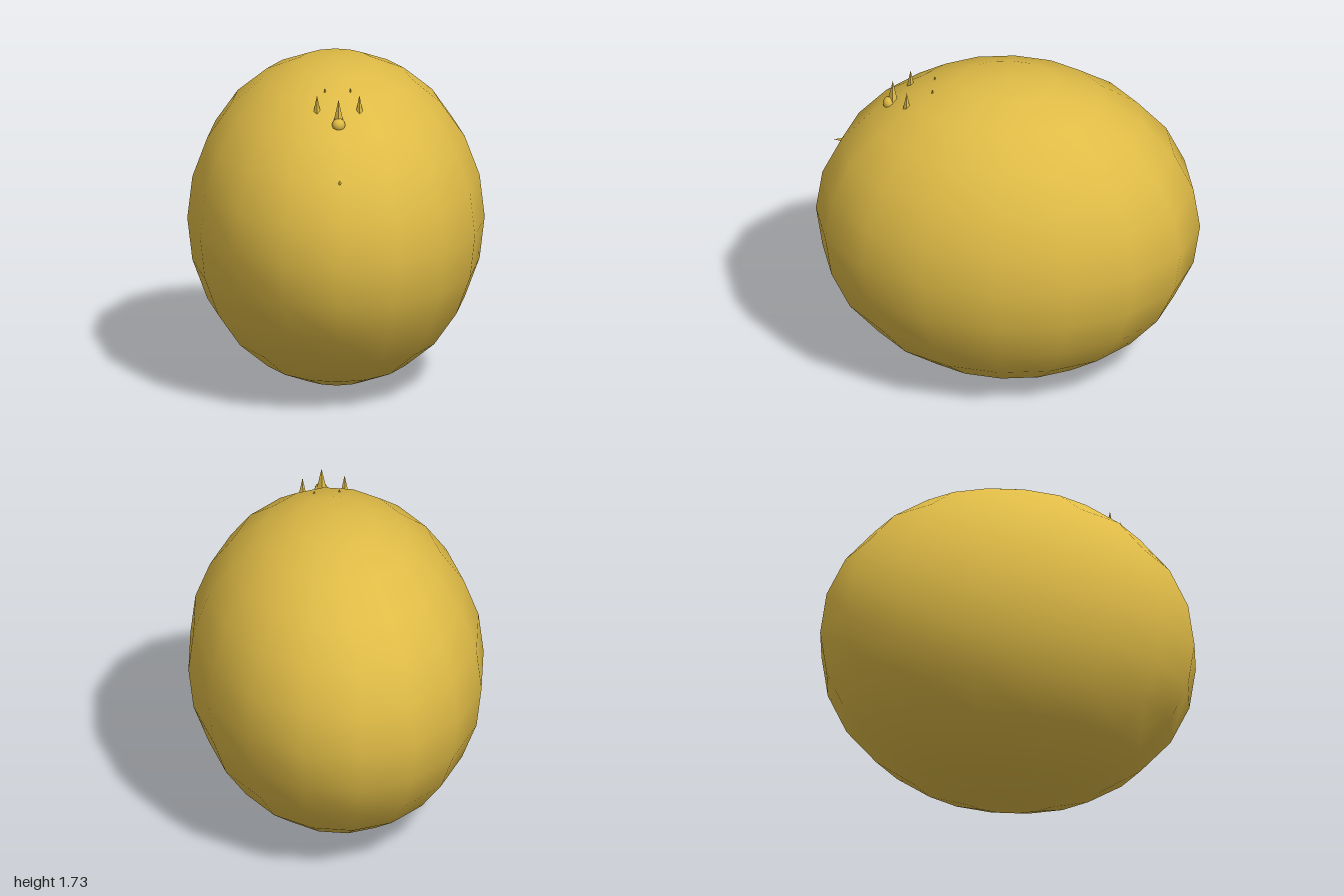
import * as THREE from 'three';

export function createModel() {
  const model = new THREE.Group();
  const gold = new THREE.MeshStandardMaterial({ color: 0xdfbb46 });
  gold.name = 'gold';

  function add(name, geometry, x, y, z) {
    const mesh = new THREE.Mesh(geometry, gold);
    mesh.name = name;
    mesh.position.set(x, y, z);
    model.add(mesh);
    return mesh;
  }

  // faceted four-sided spike with its tip at the origin, pointing up
  function spikeGeometry(radius, height) {
    const g = new THREE.ConeGeometry(radius, height, 4).translate(0, -height / 2, 0).toNonIndexed();
    g.computeVertexNormals();
    return g;
  }

  // large smooth egg-shaped body
  const body = new THREE.SphereGeometry(1, 16, 12);
  body.scale(0.771, 0.864, 1);
  add('body', body, 0, 0.866, 0);

  // central spike with a small ball in front of it
  add('centreSpike', spikeGeometry(0.032, 0.15), 0, 1.668, 0.6);
  add('ball', new THREE.SphereGeometry(0.035, 12, 8), 0, 1.535, 0.617);

  // mirrored pairs of spikes
  for (const side of [-1, 1]) {
    const label = side > 0 ? 'left' : 'right';
    add(label + 'Spike', spikeGeometry(0.02, 0.1), side * 0.11, 1.668, 0.517);
    add(label + 'SmallSpike', spikeGeometry(0.009, 0.034), side * 0.066, 1.668, 0.387);
  }

  // tiny spike pointing forward
  const front = add('frontSpike', spikeGeometry(0.012, 0.05), 0, 1.292, 0.906);
  front.rotation.x = Math.PI / 2;

  return model;
}
